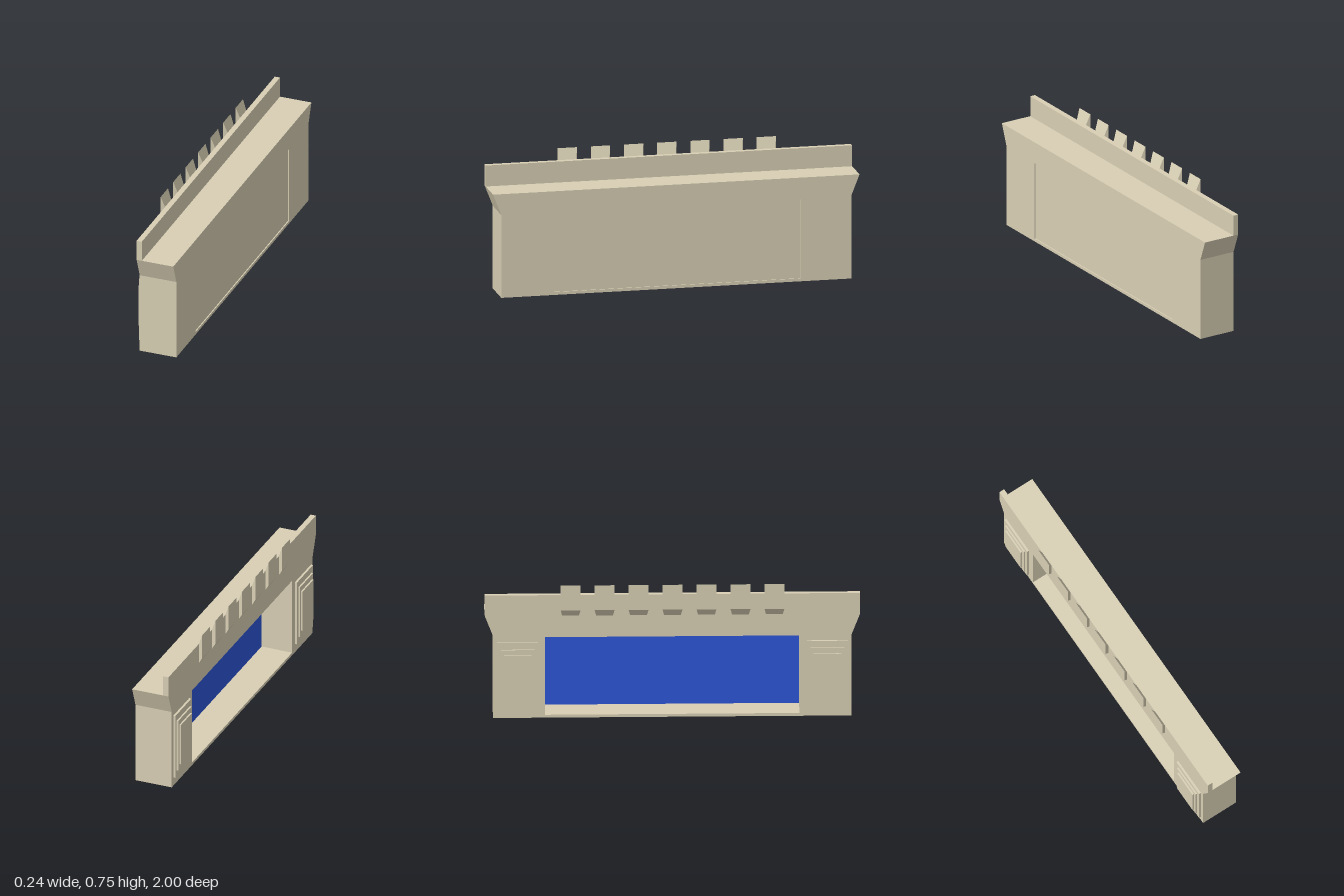
import * as THREE from 'three';

const stone = new THREE.MeshStandardMaterial({ color: 0xd8cfb4, flatShading: true });
const blue = new THREE.MeshStandardMaterial({ color: 0x2d56d8, flatShading: true });

const FACE = -0.09, BACK = 0.12; // x of the display face and of the rear face

// Box given by its limits on each axis
function block(name, [x0, x1], [y0, y1], [z0, z1], material = stone) {
  const mesh = new THREE.Mesh(new THREE.BoxGeometry(x1 - x0, y1 - y0, z1 - z0), material);
  mesh.position.set((x0 + x1) / 2, (y0 + y1) / 2, (z0 + z1) / 2);
  mesh.name = name;
  return mesh;
}

// Wall with flared upper ends and a wide opening
function wall() {
  const shape = new THREE.Shape([
    [-0.955, 0], [0.955, 0], [0.955, 0.455], [1, 0.57], [-1, 0.57], [-0.955, 0.455],
  ].map(([z, y]) => new THREE.Vector2(z, y)));
  shape.holes.push(new THREE.Path([
    [-0.678, 0.016], [-0.678, 0.45], [0.678, 0.45], [0.678, 0.016],
  ].map(([z, y]) => new THREE.Vector2(z, y))));
  const geometry = new THREE.ExtrudeGeometry(shape, { depth: BACK - FACE, bevelEnabled: false });
  geometry.rotateY(Math.PI / 2).translate(FACE, 0, 0);
  const mesh = new THREE.Mesh(geometry, stone);
  mesh.name = 'wall';
  return mesh;
}

// Slanted bracket that rises and widens away from the wall
function bracketGeometry() {
  const geometry = new THREE.BoxGeometry(1, 1, 1);
  const p = geometry.attributes.position;
  for (let i = 0; i < p.count; i++) {
    const outer = p.getX(i) < 0, top = p.getY(i) > 0;
    const y = outer ? (top ? 0.745 : 0.606) : (top ? 0.685 : 0.57);
    p.setXYZ(i, outer ? -0.112 : FACE, y, Math.sign(p.getZ(i)) * (outer ? 0.053 : 0.045));
  }
  geometry.computeVertexNormals();
  return geometry;
}

export function createModel() {
  const model = new THREE.Group();
  model.name = 'storefront';
  model.add(wall());
  model.add(block('parapet', [FACE, -0.06], [0.57, 0.685], [-1, 1]));

  // Blue display panel closing the opening, with its slightly recessed backing
  model.add(block('displayPanel', [0.087, 0.097], [0.016, 0.45], [-0.678, 0.678], blue));
  model.add(block('panelBacking', [0.097, 0.114], [0.016, 0.45], [-0.676, 0.678]));

  // Row of seven brackets along the parapet
  const brackets = new THREE.Group();
  brackets.name = 'brackets';
  const geometry = bracketGeometry();
  for (let i = -3; i <= 3; i++) {
    const bracket = new THREE.Mesh(geometry, stone);
    bracket.position.z = i * 0.181;
    bracket.name = 'bracket';
    brackets.add(bracket);
  }
  model.add(brackets);

  // Stepped raised panels on both piers: outer x, inner x, y limits, half width
  const steps = [
    [-0.102, FACE, 0.05, 0.422, 0.109],
    [-0.111, -0.102, 0.086, 0.385, 0.09],
    [-0.12, -0.111, 0.118, 0.355, 0.074],
  ];
  for (const side of [-1, 1]) {
    const panel = new THREE.Group();
    panel.name = side < 0 ? 'rearPierPanel' : 'frontPierPanel';
    for (const [x0, x1, y0, y1, w] of steps) {
      panel.add(block('panelStep', [x0, x1], [y0, y1], [side * 0.825 - w, side * 0.825 + w]));
    }
    model.add(panel);
  }
  return model;
}
